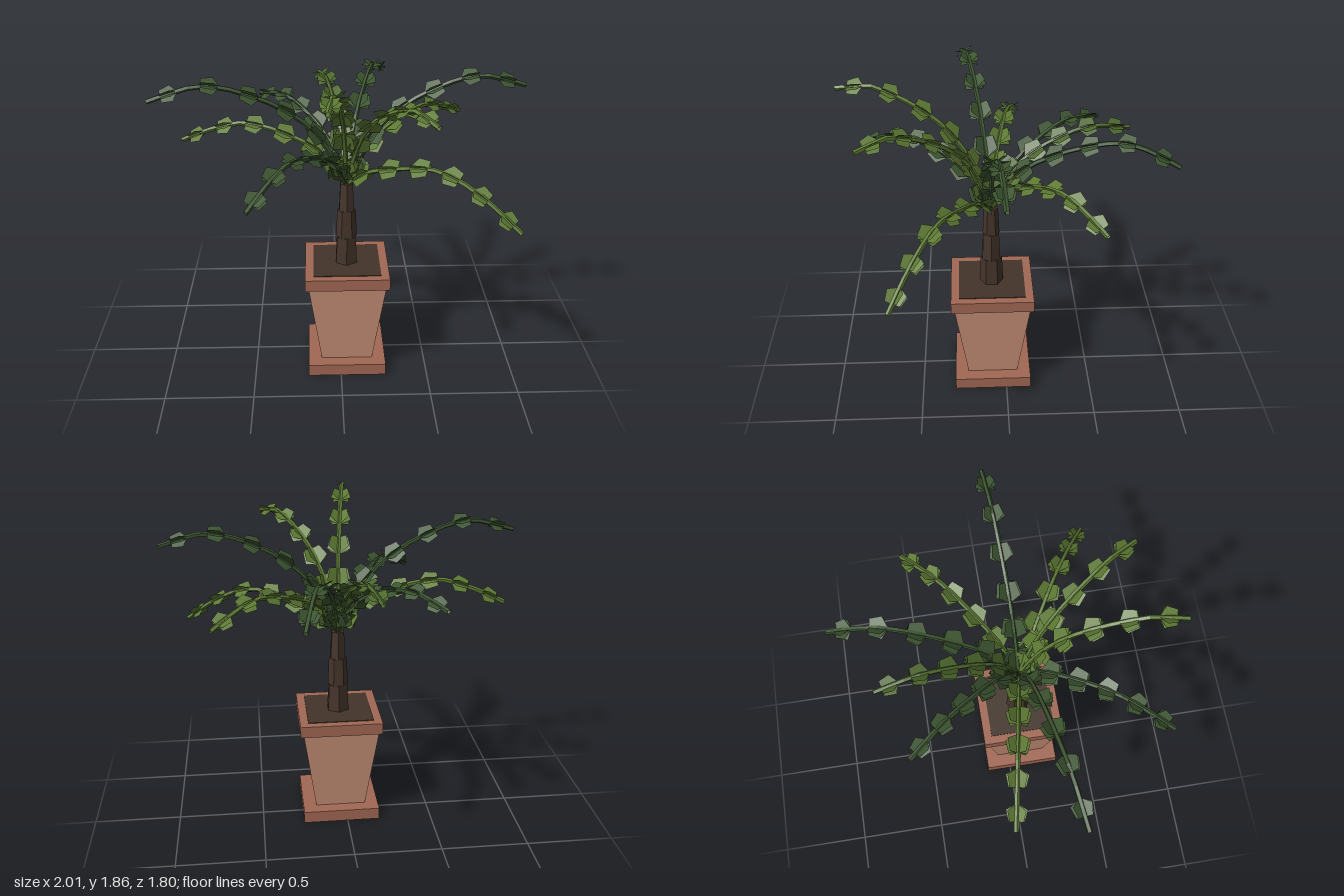
import * as THREE from 'three';
import { mergeGeometries } from 'three/addons/utils/BufferGeometryUtils.js';

const CX = 0.035, CZ = 0.08; // axis of the pot and trunk

const material = (name, color, extra = {}) => {
  const m = new THREE.MeshStandardMaterial({ color, flatShading: true, ...extra });
  m.name = name;
  return m;
};

// One leaf cluster: three pentagonal blades crossing along the stem
function leafCluster() {
  const outline = [[0, -0.056], [0.064, -0.018], [0.048, 0.05], [-0.048, 0.05], [-0.064, -0.018]];
  const shape = new THREE.Shape(outline.map(([x, y]) => new THREE.Vector2(x, y)));
  return mergeGeometries([-0.58, 0, 0.58].map((roll) =>
    new THREE.ShapeGeometry(shape).rotateX(Math.PI / 2).rotateZ(roll)));
}

// Arching path from the crown, over a peak, to the tip
function frondPath([tx, ty, tz, peak, top]) {
  const y0 = 1.12, h = top - y0;
  const at = (f, y) => new THREE.Vector3(CX + (tx - CX) * f, y, CZ + (tz - CZ) * f);
  return new THREE.CatmullRomCurve3([
    at(0, y0),
    at(peak * 0.22, y0 + h * 0.5),
    at(peak * 0.5, y0 + h * 0.78),
    at(peak, top),
    at((peak + 1) / 2, top - (top - ty) * 0.35),
    at(1, ty),
  ]);
}

// Leaves threaded along the path, smaller towards the tip
function frondLeaves(path, count = 6) {
  const up = new THREE.Vector3(0, 1, 0);
  const leaves = [];
  for (let i = 0; i < count; i++) {
    const u = 0.1 + (0.81 * i) / (count - 1);
    const t = path.getTangentAt(u);
    const side = new THREE.Vector3().crossVectors(up, t).normalize();
    const normal = new THREE.Vector3().crossVectors(t, side);
    const frame = new THREE.Matrix4().makeBasis(side, normal, t).setPosition(path.getPointAt(u));
    const s = 1.24 - 0.4 * u;
    leaves.push(leafCluster().scale(s, s, s).applyMatrix4(frame));
  }
  return mergeGeometries(leaves);
}

export function createModel() {
  const model = new THREE.Group();
  model.name = 'pottedPalm';
  const clay = material('clay', 0xd0967c);
  const darkClay = material('dark clay', 0xa26854);
  const soilMat = material('soil', 0x43342a);
  const bark = material('bark', 0x45352b);
  const darkGreen = material('dark green', 0x3c5430, { side: THREE.DoubleSide });
  const lightGreen = material('light green', 0x5d7933, { side: THREE.DoubleSide });
  const midGreen = material('mid green', 0x4d672d, { side: THREE.DoubleSide });

  const add = (name, geometry, mat, y = 0, parent = model) => {
    const mesh = new THREE.Mesh(geometry, mat);
    mesh.name = name;
    mesh.position.y = y;
    parent.add(mesh);
    return mesh;
  };

  // Pot
  const pot = new THREE.Group();
  pot.name = 'pot';
  pot.position.set(CX, 0, CZ);
  model.add(pot);
  add('potBase', new THREE.BoxGeometry(0.448, 0.07, 0.448), darkClay, 0.035, pot);
  add('potBody', new THREE.CylinderGeometry(0.219 * Math.SQRT2, 0.147 * Math.SQRT2, 0.51, 4)
    .rotateY(Math.PI / 4), clay, 0.325, pot);
  add('potRim', new THREE.BoxGeometry(0.474, 0.067, 0.474), darkClay, 0.6075, pot);
  add('soil', new THREE.BoxGeometry(0.38, 0.008, 0.38), soilMat, 0.641, pot);

  // Trunk of three tapering hexagonal sections, each turned against the last
  const trunk = new THREE.Group();
  trunk.name = 'trunk';
  trunk.position.set(CX, 0, CZ);
  model.add(trunk);
  [[0.069, 0.061], [0.059, 0.052], [0.048, 0.04]].forEach(([bottom, top], i) =>
    add('trunkSection', new THREE.CylinderGeometry(top, bottom, 0.165, 6).rotateY((i * Math.PI) / 6),
      bark, 0.722 + i * 0.163, trunk));

  // Fronds: tip x, y, z, peak position along the reach, peak height, colour
  const fronds = [
    [0.28, 1.49, -0.9, 0.7, 1.6, darkGreen],
    [0.73, 1.36, -0.47, 0.64, 1.46, lightGreen],
    [1.0, 1.67, 0.03, 0.71, 1.73, darkGreen],
    [0.91, 1.06, 0.6, 0.54, 1.31, lightGreen],
    [0.44, 1.69, 0.75, 0.75, 1.72, lightGreen],
    [-0.08, 1.81, 0.89, 0.77, 1.83, lightGreen],
    [-0.47, 1.3, 0.82, 0.6, 1.43, darkGreen],
    [-1.0, 1.66, 0.23, 0.71, 1.73, darkGreen],
    [-0.88, 1.33, -0.09, 0.6, 1.45, lightGreen],
    [-0.46, 1.45, -0.56, 0.68, 1.5, darkGreen],
    [-0.11, 1.54, -0.69, 0.7, 1.57, midGreen],
  ];
  for (const frond of fronds) {
    const group = new THREE.Group();
    group.name = 'frond';
    model.add(group);
    const path = frondPath(frond);
    add('stem', new THREE.TubeGeometry(path, 12, 0.014, 5), frond[5], 0, group);
    add('leaves', frondLeaves(path), frond[5], 0, group);
  }
  return model;
}
